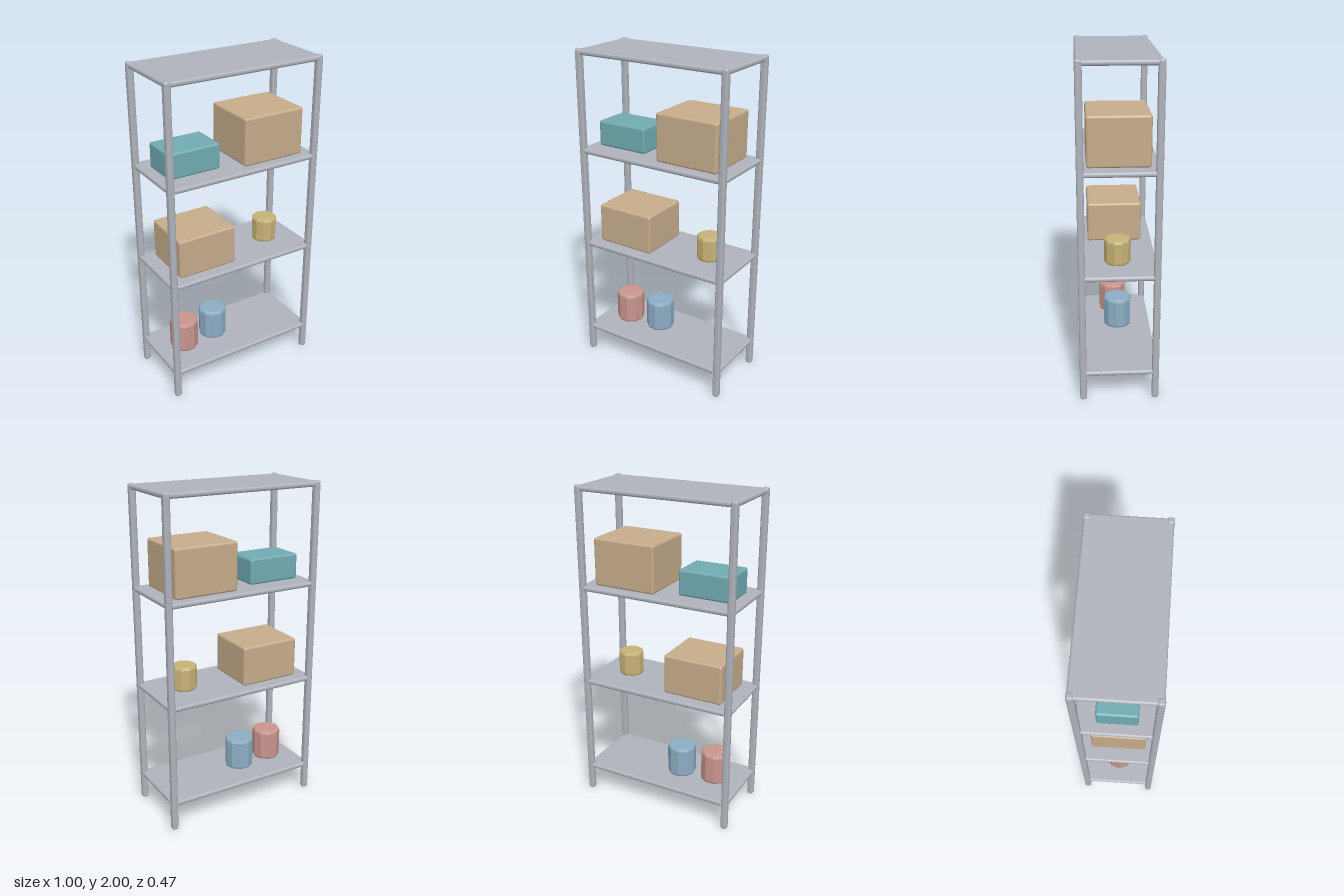
import * as THREE from 'three';
import { RoundedBoxGeometry } from 'three/addons/geometries/RoundedBoxGeometry.js';

function material(name, color) {
  const m = new THREE.MeshStandardMaterial({ color });
  m.name = name;
  return m;
}

export function createModel() {
  const rack = new THREE.Group();
  rack.name = 'storageRack';

  const steel = material('greySteel', 0xb0b3bb);
  const cardboard = material('cardboard', 0xc6ac8b);
  const teal = material('tealPlastic', 0x70abb2);
  const yellow = material('yellowTin', 0xc7b377);
  const red = material('redTin', 0xc8958e);
  const blue = material('blueTin', 0x8dadc4);

  // Box with softened edges, placed by the centre of its underside
  function box(name, mat, [w, h, d], [x, y, z], radius) {
    const mesh = new THREE.Mesh(new RoundedBoxGeometry(w, h, d, 2, radius), mat);
    mesh.name = name;
    mesh.position.set(x, y + h / 2, z);
    rack.add(mesh);
  }

  // Faceted can with rounded rims, standing on y
  function can(name, mat, r, h, [x, y, z], turn = 0) {
    const b = 0.016;
    const profile = [
      [0, 0], [r - b, 0], [r - b * 0.3, b * 0.3], [r, b],
      [r, h - b], [r - b * 0.3, h - b * 0.3], [r - b, h], [0, h],
    ].map(([px, py]) => new THREE.Vector2(px, py));
    const geometry = new THREE.LatheGeometry(profile, 10).toNonIndexed();
    geometry.computeVertexNormals();
    const mesh = new THREE.Mesh(geometry, mat);
    mesh.name = name;
    mesh.position.set(x, y, z);
    mesh.rotation.y = turn;
    rack.add(mesh);
  }

  // Corner posts
  for (const sx of [-1, 1]) {
    for (const sz of [-1, 1]) {
      const name = (sz > 0 ? 'front' : 'back') + (sx > 0 ? 'Left' : 'Right') + 'Post';
      box(name, steel, [0.04, 2, 0.04], [sx * 0.48, 0, sz * 0.213], 0.013);
    }
  }

  // Shelves, bottom to top
  const shelfTops = [0.187, 0.797, 1.407, 1.995];
  shelfTops.forEach((top, i) => {
    box(`shelf${i + 1}`, steel, [0.992, 0.03, 0.46], [0, top - 0.03, 0], 0.013);
  });
  const [low, middle, high] = shelfTops;

  // Boxes
  box('largeCarton', cardboard, [0.397, 0.288, 0.356], [0.219, high, 0], 0.014);
  box('tealBox', teal, [0.33, 0.155, 0.23], [-0.27, high, 0], 0.014);
  box('mediumCarton', cardboard, [0.375, 0.245, 0.332], [-0.223, middle, 0.002], 0.014);

  // Cans
  can('yellowCan', yellow, 0.078, 0.156, [0.286, middle, 0.002]);
  can('redCan', red, 0.089, 0.2, [-0.313, low, 0.002], Math.PI / 10);
  can('blueCan', blue, 0.089, 0.2, [-0.09, low, -0.02], 0.2);

  return rack;
}
